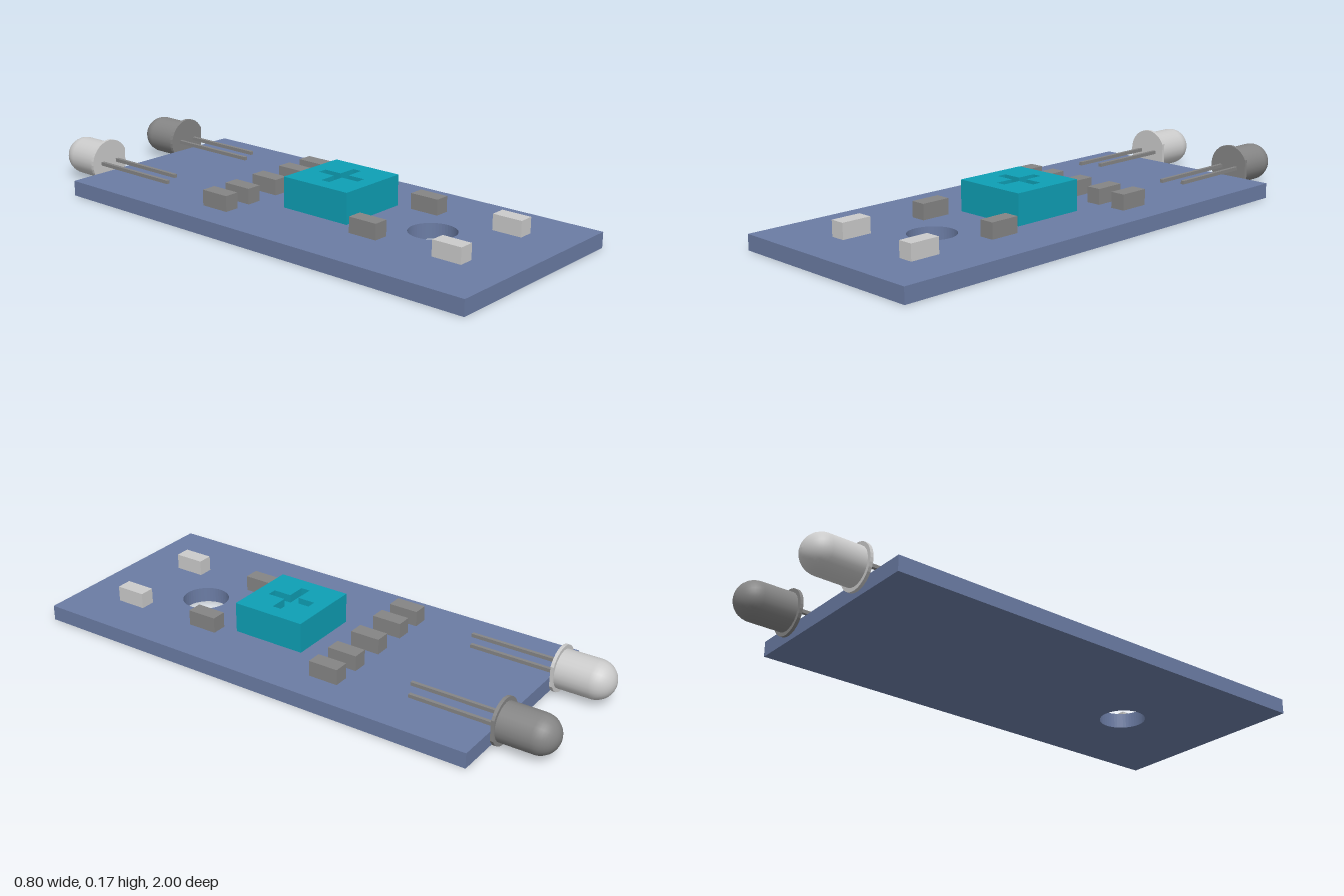
import * as THREE from 'three';

const mat = (color) => new THREE.MeshStandardMaterial({ color });
const BOARD_TOP = 0.057;

export function createModel() {
  const model = new THREE.Group();
  const boardMat = mat(0x6b7ca4), trimMat = mat(0x0e9fb5);
  const darkMat = mat(0x858585), lightMat = mat(0xcccccc);

  function add(parent, name, geometry, material, x = 0, y = 0, z = 0) {
    const mesh = new THREE.Mesh(geometry, material);
    mesh.name = name;
    mesh.position.set(x, y, z);
    parent.add(mesh);
    return mesh;
  }

  // Rectangle outline; shape y is -z once laid flat
  function rect(x0, z0, x1, z1) {
    return new THREE.Shape([[x0, -z1], [x1, -z1], [x1, -z0], [x0, -z0]]
      .map(([x, y]) => new THREE.Vector2(x, y)));
  }
  const slab = (shape, depth) => new THREE.ExtrudeGeometry(shape,
    { depth, bevelEnabled: false, curveSegments: 24 }).rotateX(-Math.PI / 2);

  // Circuit board with its mounting hole
  const board = rect(-0.4, -0.773, 0.4, 1);
  board.holes.push(new THREE.Path().absarc(0.027, -0.57, 0.086, 0, Math.PI * 2, true));
  add(model, 'circuitBoard', slab(board, BOARD_TOP), boardMat);

  // Trimmer block with a cross-shaped recess
  const trimmer = new THREE.Group();
  trimmer.name = 'trimmer';
  trimmer.position.set(0.027, BOARD_TOP, 0.169);
  const half = 0.1425, a = 0.018, b = 0.088, recess = 0.03, height = 0.114;
  const top = rect(-half, -half, half, half);
  top.holes.push(new THREE.Path([[a, b], [a, a], [b, a], [b, -a], [a, -a], [a, -b],
    [-a, -b], [-a, -a], [-b, -a], [-b, a], [-a, a], [-a, b]]
    .map(([x, y]) => new THREE.Vector2(x, y))));
  add(trimmer, 'trimmerBase', slab(rect(-half, -half, half, half), height - recess), trimMat);
  add(trimmer, 'trimmerTop', slab(top, recess), trimMat, 0, height - recess, 0);
  model.add(trimmer);

  // Small surface-mounted chips
  const chipGeo = new THREE.BoxGeometry(0.057, 0.058, 0.114);
  const chips = [
    ['resistor', darkMat, -0.147, [-0.258, -0.145, -0.003, 0.14, 0.255]],
    ['resistor', darkMat, 0.427, [-0.145, 0.197]],
    ['indicator', lightMat, 0.769, [-0.145, 0.197]],
  ];
  for (const [name, material, z, xs] of chips)
    for (const x of xs) add(model, name, chipGeo, material, x, BOARD_TOP + 0.029, z);

  // Bulb: straight barrel ending in a hemisphere, pointing to the back
  const r = 0.071, barrel = 0.129;
  const profile = [new THREE.Vector2(r, 0)];
  for (let i = 0; i <= 10; i++) {
    const t = (i / 10) * Math.PI / 2;
    profile.push(new THREE.Vector2(i === 10 ? 0 : r * Math.cos(t), barrel + r * Math.sin(t)));
  }
  const bulbGeo = new THREE.LatheGeometry(profile, 24).rotateX(-Math.PI / 2);

  // Round flange with one flat side
  const flat = Math.acos(0.076 / 0.085);
  const rim = new THREE.Shape().absarc(0, 0, 0.085, flat, Math.PI * 2 - flat, false);
  rim.closePath();
  const flangeGeo = new THREE.ExtrudeGeometry(rim, { depth: 0.012, bevelEnabled: false, curveSegments: 14 });

  // Two diodes, each with a long and a short lead
  for (const [name, material, x] of [['emitterDiode', lightMat, -0.205], ['receiverDiode', darkMat, 0.207]]) {
    const diode = new THREE.Group();
    diode.name = name;
    diode.position.set(x, 0.086, -0.8);
    add(diode, 'bulb', bulbGeo, material);
    add(diode, 'flange', flangeGeo, material, 0, 0, -0.004);
    for (const [dx, len] of [[-0.037, 0.37], [0.034, 0.335]])
      add(diode, 'lead', new THREE.BoxGeometry(0.013, 0.013, len), darkMat, dx, 0, len / 2);
    model.add(diode);
  }
  return model;
}
